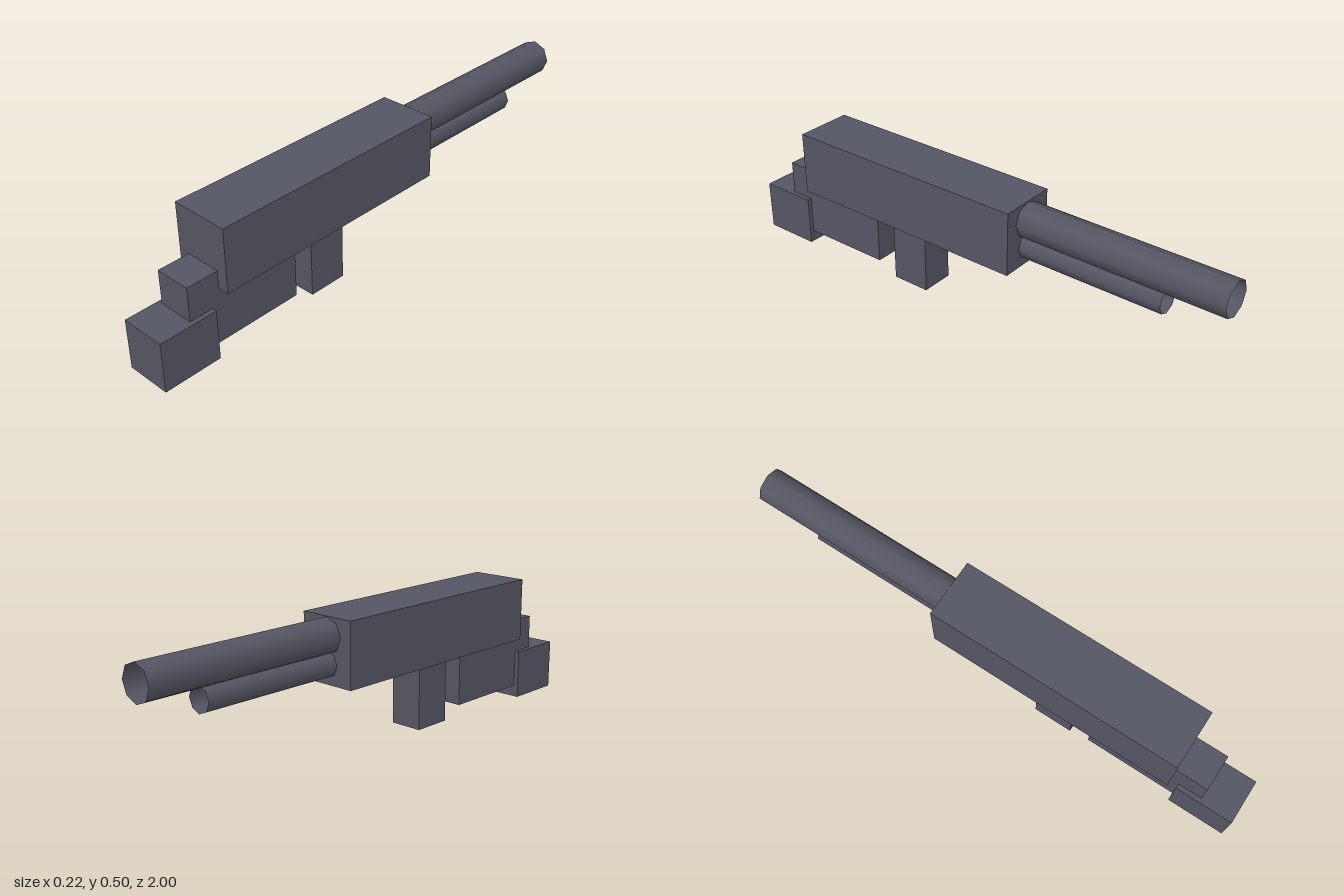
import * as THREE from 'three';

export function createModel() {
  const model = new THREE.Group();
  const gunmetal = new THREE.MeshStandardMaterial({ color: 0x555663, side: THREE.DoubleSide });
  gunmetal.name = 'gunmetal';

  function add(name, geometry, y, z) {
    const mesh = new THREE.Mesh(geometry, gunmetal);
    mesh.name = name;
    mesh.position.set(0, y, z);
    model.add(mesh);
  }

  // Block given by its width and its y and z ranges, centred on x = 0
  function block(name, width, y0, y1, z0, z1) {
    add(name, new THREE.BoxGeometry(width, y1 - y0, z1 - z0), (y0 + y1) / 2, (z0 + z1) / 2);
  }

  // Open eight-sided tube along z, a corner pointing straight up
  function tube(name, radius, y, z0, z1) {
    const geometry = new THREE.CylinderGeometry(radius, radius, z1 - z0, 8, 1, true);
    geometry.rotateX(Math.PI / 2);
    add(name, geometry, y, (z0 + z1) / 2);
  }

  // Body, stock and grip
  block('receiver', 0.224, 0.253, 0.495, -0.22, 0.748);
  block('stockArm', 0.138, 0.045, 0.32, 0.42, 0.87);
  block('stockButt', 0.173, 0, 0.191, 0.778, 1);
  block('foreGrip', 0.13, 0, 0.3, 0.19, 0.342);

  // Barrel and the shorter tube under it
  tube('barrel', 0.066, 0.427, -1, -0.2);
  tube('lowerTube', 0.048, 0.326, -0.773, -0.2);

  return model;
}
